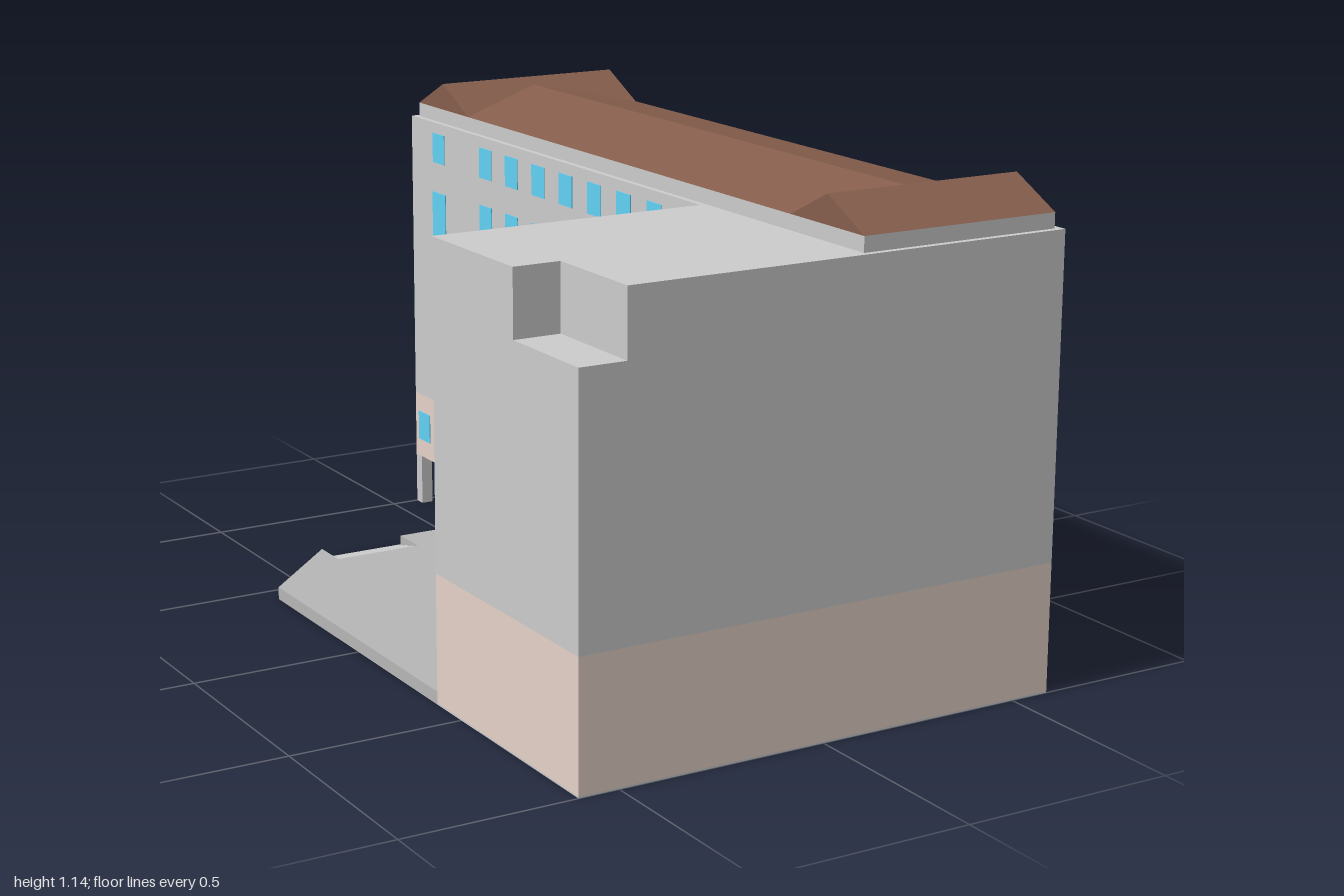
import * as THREE from 'three';

const mat = (color) => new THREE.MeshStandardMaterial({ color, flatShading: true });

export function createModel() {
  const model = new THREE.Group();
  const wall = mat(0xcccccc), base = mat(0xe4d2c7), brown = mat(0x865e4d);
  const glass = mat(0x62d2f5), paving = mat(0xb6b6b6);

  const add = (name, geometry, material, parent = model) => {
    const mesh = new THREE.Mesh(geometry, material);
    mesh.name = name;
    parent.add(mesh);
    return mesh;
  };
  // box from min and max on each axis
  const box = (name, material, x0, x1, y0, y1, z0, z1, parent) =>
    add(name, new THREE.BoxGeometry(x1 - x0, y1 - y0, z1 - z0)
      .translate((x0 + x1) / 2, (y0 + y1) / 2, (z0 + z1) / 2), material, parent);
  // upright prism over a plan of [x, z] corners
  const prism = (name, material, plan, y0, y1, hole) => {
    const path = (pts) => pts.map(([x, z]) => new THREE.Vector2(x, z));
    const shape = new THREE.Shape(path(plan));
    if (hole) shape.holes.push(new THREE.Path(path(hole)));
    const g = new THREE.ExtrudeGeometry(shape, { depth: y1 - y0, bevelEnabled: false });
    return add(name, g.rotateX(Math.PI / 2).translate(0, y1, 0), material);
  };

  const X = 0.595, IN = 0.07, COURT = 0.39; // outer side, courtyard faces
  const passX = 0.29, passZ = -0.655;       // ground passage under the back corner

  // L-shaped body in layers
  const plan = [[IN, -1], [X, -1], [X, 1], [-X, 1], [-X, COURT], [IN, COURT]];
  const groundPlan = [[IN, passZ], [passX, passZ], [passX, -1], ...plan.slice(1)];
  const topPlan = [[IN, -1], [X, -1], [X, 1], [-0.485, 1], [-0.485, 0.74], [-X, 0.74], [-X, COURT], [IN, COURT]];
  const shaft = [[-0.591, 0.74], [-0.383, 0.74], [-0.383, 0.996], [-0.591, 0.996]];
  prism('floor', wall, groundPlan, 0, 0.004, shaft);
  prism('groundStorey', base, groundPlan, 0.004, 0.13, shaft);
  prism('baseBand', base, plan, 0.13, 0.3);
  prism('upperStoreys', wall, plan, 0.3, 0.89);
  prism('topStorey', wall, topPlan, 0.89, 1.04);
  box('cornerPost', wall, IN, IN + 0.03, 0, 0.13, -1, -0.97);

  // Roof on the long wing
  const rx0 = 0.085, rx1 = 0.578, rz = 0.985, eave = 1.075;
  box('roofPlinth', wall, rx0, rx1, 1.04, eave, -rz, rz);
  const gable = (width, height, length) => new THREE.ExtrudeGeometry(
    new THREE.Shape([[-width / 2, 0], [width / 2, 0], [0, height]].map((p) => new THREE.Vector2(...p))),
    { depth: length, bevelEnabled: false }).translate(0, 0, -length / 2);
  const midX = (rx0 + rx1) / 2;
  add('mainRoof', gable(rx1 - rx0, 0.05, 1.7).translate(midX, eave, 0), brown);
  for (const s of [-1, 1]) {
    add('endRoof', gable(0.266, 0.066, rx1 - rx0).rotateY(Math.PI / 2)
      .translate(midX, eave, s * (rz - 0.133)), brown);
  }

  // Courtyard terrace with a gap for the steps
  const sx0 = -0.375, sx1 = -0.155, sz = -0.56, tTop = 0.03;
  prism('terrace', paving, [[IN, COURT], [-X, COURT], [-X, -0.435], [sx0, passZ], [sx0, sz],
    [sx1, sz], [sx1, passZ], [IN, passZ]], 0, tTop);
  for (let i = 0; i < 3; i++) {
    const d = (sz - passZ) / 3;
    box('terraceStep', wall, sx0, sx1, 0, 0.007 * (i + 1), passZ + i * d, passZ + (i + 1) * d);
  }
  box('entranceCanopy', wall, sx0, sx1, 0.137, 0.163, 0.28, COURT);

  // Windows: thin panes on the three glazed faces
  const windows = new THREE.Group();
  windows.name = 'windows';
  model.add(windows);
  const T = 0.002;
  const faces = {
    end: (u, w, y0, y1) => box('endWindow', glass, u - w, u + w, y0, y1, -1 - T, -1 + T, windows),
    wing: (u, w, y0, y1) => box('wingWindow', glass, u - w, u + w, y0, y1, COURT - T, COURT + T, windows),
    side: (u, w, y0, y1) => box('sideWindow', glass, IN - T, IN + T, y0, y1, u - w, u + w, windows),
  };
  const small = (face, u, y, w = 0.031) => faces[face](u, w, y - 0.038, y + 0.038);
  const storeys = [0.975, 0.83, 0.687];
  const column = (face, u) => {
    storeys.forEach((y) => small(face, u, y));
    faces[face](u, 0.031, 0.33, 0.555);
    small(face, u, 0.215);
  };

  // end face
  for (const x of [0.44, 0.335, 0.23]) for (const y of [0.967, 0.825]) small('end', x, y, 0.039);
  small('end', 0.335, 0.695, 0.039);
  faces.end(0.335, 0.039, 0.33, 0.57);

  // long courtyard face, with stair windows near the back
  for (let i = 0; i < 8; i++) {
    const z = -0.6 + i * 0.133;
    column('side', z);
    small('side', z, 0.1);
  }
  small('side', -0.85, 0.975);
  faces.side(-0.85, 0.035, 0.64, 0.86);
  faces.side(-0.85, 0.035, 0.34, 0.575);
  for (const z of [-0.95, -0.71]) small('side', z, 0.215);

  // short courtyard face, with doors under the canopy
  for (let i = 0; i < 6; i++) {
    const x = 0.015 - i * 0.112;
    column('wing', x);
    if (i < 2 || i > 3) small('wing', x, 0.1);
  }
  faces.wing(-0.265, 0.085, tTop, 0.12);

  return model;
}
